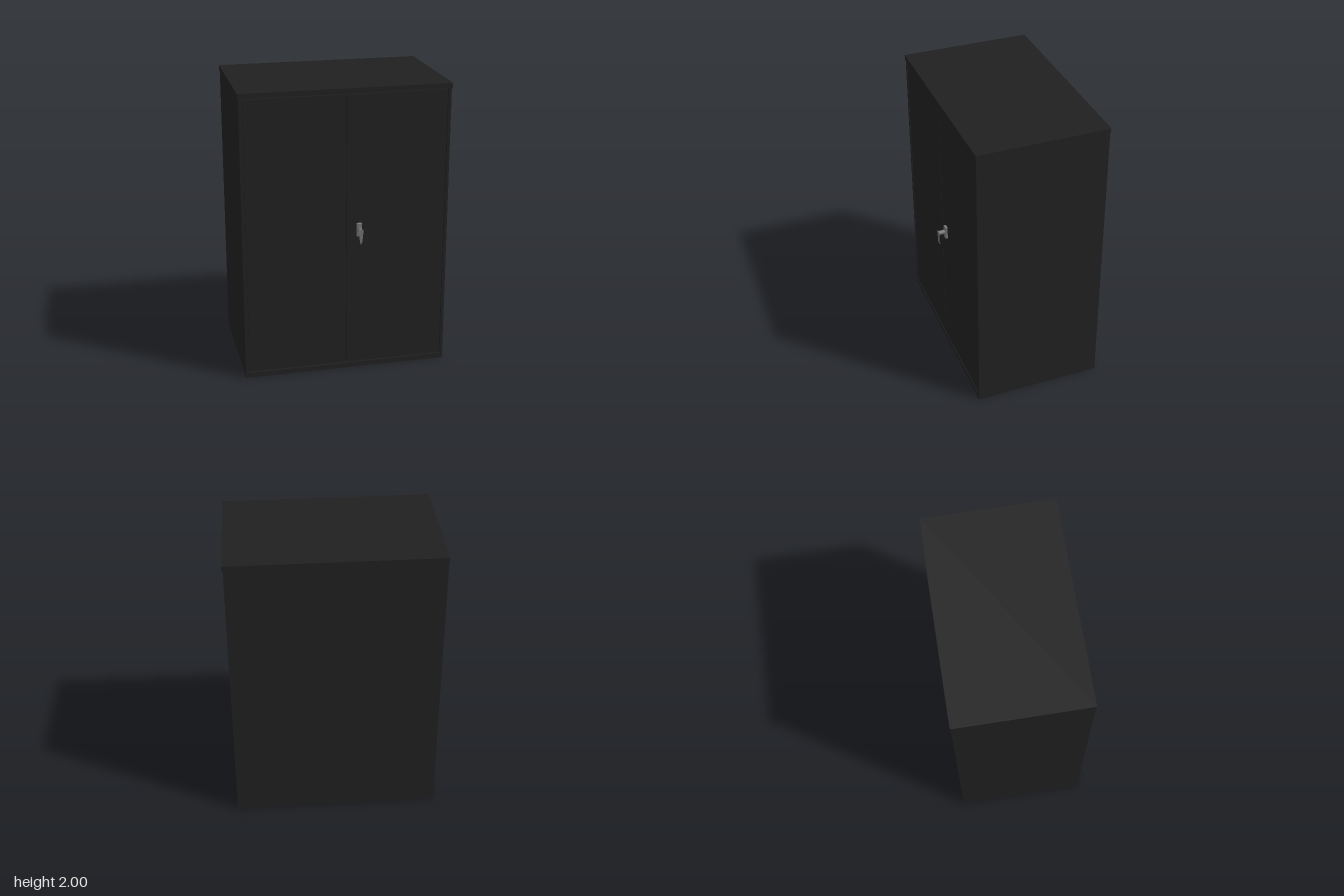
import * as THREE from 'three';
import { RoundedBoxGeometry } from 'three/addons/geometries/RoundedBoxGeometry.js';

const paint = new THREE.MeshStandardMaterial({ color: 0x202020 });
const metal = new THREE.MeshStandardMaterial({ color: 0x707070 });

export function createModel() {
  const cabinet = new THREE.Group();
  cabinet.name = 'cabinet';

  const add = (parent, name, geometry, material = paint) => {
    const mesh = new THREE.Mesh(geometry, material);
    mesh.name = name;
    parent.add(mesh);
    return mesh;
  };
  // Box given by its limits on each axis
  const box = (parent, name, [x0, x1], [y0, y1], [z0, z1], material = paint) =>
    add(parent, name, new THREE.BoxGeometry(x1 - x0, y1 - y0, z1 - z0), material)
      .position.set((x0 + x1) / 2, (y0 + y1) / 2, (z0 + z1) / 2);

  // Sheet metal shell
  box(cabinet, 'backPanel', [-0.707, 0.707], [0, 1.965], [-0.47, -0.455]);
  box(cabinet, 'floorPanel', [-0.692, 0.692], [0, 0.015], [-0.455, 0.4]);
  box(cabinet, 'bottomRail', [-0.707, 0.707], [0, 0.036], [0.385, 0.416]);
  box(cabinet, 'topRail', [-0.68, 0.68], [1.95, 1.965], [0.37, 0.4]);
  for (const [side, s] of [['left', 1], ['right', -1]]) {
    const span = (a, b) => (s > 0 ? [a, b] : [-b, -a]);
    box(cabinet, side + 'SidePanel', span(0.692, 0.707), [0, 1.965], [-0.455, 0.385]);
    box(cabinet, side + 'FrontPost', span(0.687, 0.707), [0.036, 1.965], [0.37, 0.416]);
    // Recess strip beside the hinge edge of the door
    box(cabinet, side + 'DoorStop', span(0.66, 0.687), [0.036, 1.965], [0.37, 0.4]);
    // Door, with a narrow gap around it
    box(cabinet, side + 'Door', span(0.003, 0.679), [0.042, 1.959], [0.392, 0.413]);
  }
  // Strip behind the gap between the doors
  box(cabinet, 'centreStop', [-0.02, 0.02], [0.036, 1.965], [0.375, 0.392]);

  // Lid with clipped rear corners
  const outline = new THREE.Shape([
    [-0.712, -0.42], [0.712, -0.42], [0.712, 0.468], [0.705, 0.476], [-0.705, 0.476], [-0.712, 0.468],
  ].map(([x, y]) => new THREE.Vector2(x, y)));
  const lid = new THREE.ExtrudeGeometry(outline, { depth: 0.035, bevelEnabled: false });
  lid.rotateX(-Math.PI / 2);
  add(cabinet, 'lid', lid).position.y = 1.965;

  // Lock handle on the left door
  const handle = new THREE.Group();
  handle.name = 'lockHandle';
  handle.position.set(0.087, 0, 0);
  cabinet.add(handle);
  add(handle, 'lockPlate', new RoundedBoxGeometry(0.036, 0.094, 0.02, 2, 0.004), metal)
    .position.set(0, 1.027, 0.421);
  const spindle = add(handle, 'spindle', new THREE.CylinderGeometry(0.015, 0.016, 0.047, 20), metal);
  spindle.rotation.x = Math.PI / 2;
  spindle.position.set(0, 1.03, 0.45);

  // Thin tapering lever, its tip curling toward the door
  const lever = new THREE.BoxGeometry(1, 0.105, 0.004, 1, 14, 1);
  const p = lever.attributes.position;
  for (let i = 0; i < p.count; i++) {
    const t = 0.5 - p.getY(i) / 0.105;
    const curl = Math.max(0, (t - 0.8) / 0.2);
    p.setX(i, p.getX(i) * THREE.MathUtils.lerp(0.034, 0.012, t));
    p.setZ(i, p.getZ(i) - 0.01 * curl * curl);
  }
  lever.computeVertexNormals();
  add(handle, 'lever', lever, metal).position.set(0, 0.9905, 0.474);

  return cabinet;
}
